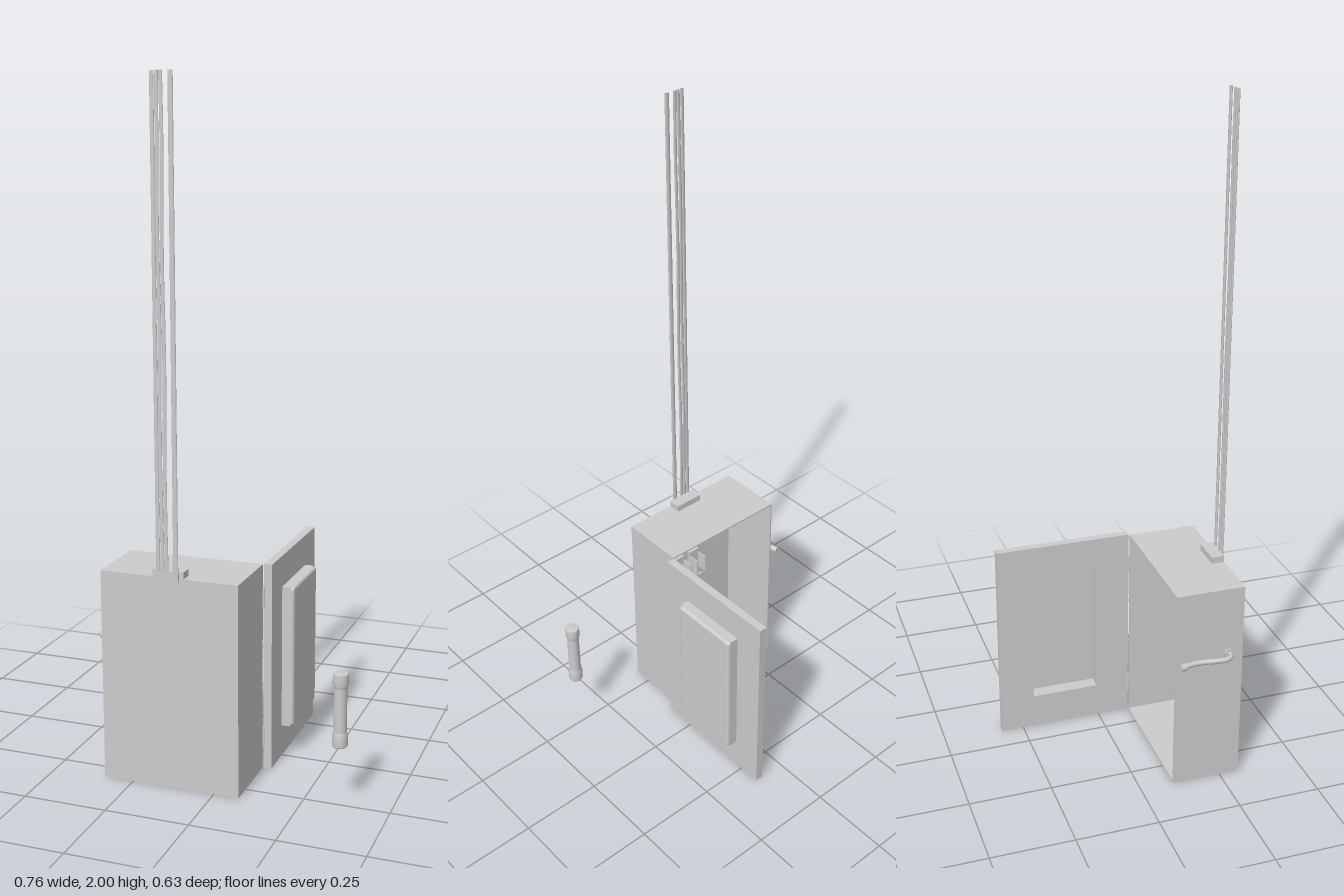
import * as THREE from 'three';
import { RoundedBoxGeometry } from 'three/addons/geometries/RoundedBoxGeometry.js';

const grey = new THREE.MeshStandardMaterial({ color: 0xcccccc, side: THREE.DoubleSide });

function add(parent, name, geometry, x = 0, y = 0, z = 0) {
  const mesh = new THREE.Mesh(geometry, grey);
  mesh.name = name;
  mesh.position.set(x, y, z);
  parent.add(mesh);
  return mesh;
}

// Box given by its minimum and maximum corners
function block(parent, name, [x0, y0, z0], [x1, y1, z1]) {
  return add(parent, name, new THREE.BoxGeometry(x1 - x0, y1 - y0, z1 - z0),
    (x0 + x1) / 2, (y0 + y1) / 2, (z0 + z1) / 2);
}

function tube(parent, name, points, radius, segments = 24) {
  const curve = new THREE.CatmullRomCurve3(points.map(p => new THREE.Vector3(...p)));
  return add(parent, name, new THREE.TubeGeometry(curve, segments, radius, 10));
}

function group(parent, name) {
  const g = new THREE.Group();
  g.name = name;
  parent.add(g);
  return g;
}

// Rectangular frame in the z-y plane, extruded along +x
function frame(outer, inner, depth) {
  const corners = ([z0, y0, z1, y1]) => [[-z0, y0], [-z1, y0], [-z1, y1], [-z0, y1]]
    .map(p => new THREE.Vector2(...p));
  const shape = new THREE.Shape(corners(outer));
  shape.holes.push(new THREE.Path(corners(inner)));
  return new THREE.ExtrudeGeometry(shape, { depth, bevelEnabled: false }).rotateY(Math.PI / 2);
}

export function createModel() {
  const model = new THREE.Group();
  model.name = 'fuseBox';

  // Cabinet shell, open towards the back
  const cabinet = group(model, 'cabinet');
  const t = 0.005, L = -0.34, R = 0.075, H = 0.63, Z0 = 0.102, Z1 = 0.31;
  block(cabinet, 'backPanel', [L, 0, Z1 - t], [R, H, Z1]);
  block(cabinet, 'rightWall', [L, 0, Z0], [L + t, H, Z1 - t]);
  block(cabinet, 'leftWall', [R - t, 0, Z0], [R, H, Z1 - t]);
  block(cabinet, 'floor', [L + t, 0, Z0], [R - t, t, Z1 - t]);
  block(cabinet, 'roof', [L + t, H - t, Z0], [R - t, H, Z1 - t]);

  // Open door with a hollow raised panel
  const door = group(model, 'door');
  const rim = [-0.222, 0.098, 0.005, 0.535], hollow = [-0.212, 0.108, -0.005, 0.525];
  add(door, 'doorPlate', frame([-0.318, 0, 0.1, H], hollow, 0.025), 0.077);
  add(door, 'panelRim', frame(rim, hollow, 0.028), 0.1);
  add(door, 'panelFace', new RoundedBoxGeometry(0.02, 0.437, 0.227, 3, 0.0095), 0.129, 0.3165, -0.1085);
  for (const y of [0.1, 0.53]) {
    add(door, 'hinge', new THREE.CylinderGeometry(0.004, 0.004, 0.06, 10), 0.077, y, 0.1);
  }

  // Cable entry on the roof
  const entry = group(model, 'cableEntry');
  block(entry, 'entryBlock', [-0.18, H, 0.272], [-0.086, 0.65, 0.31]);
  block(entry, 'entryLip', [-0.168, 0.615, 0.309], [-0.1, 0.65, 0.314]);

  // Rising cables, each slightly wavy
  const cables = group(model, 'cables');
  [[-0.161, 0.006], [-0.149, 0.0055], [-0.136, 0.0055], [-0.108, 0.0075]].forEach(([x, r], i) => {
    const points = [];
    for (let k = 0; k <= 8; k++) {
      points.push([x + (i % 3 ? 0.0015 * Math.sin(k * 1.7 + i) : 0), 0.62 + k * 0.1725, 0]);
    }
    const cable = tube(cables, 'cable', points, r, 32);
    cable.scale.z = 0.45;
    cable.position.z = 0.312;
  });

  // Switch lever on the side wall
  const lever = group(model, 'lever');
  add(lever, 'leverFlange', new THREE.CylinderGeometry(0.016, 0.016, 0.006, 16).rotateZ(Math.PI / 2), -0.342, 0.418, 0.268);
  tube(lever, 'leverArm', [[-0.338, 0.418, 0.269], [-0.356, 0.418, 0.268], [-0.37, 0.418, 0.25],
    [-0.369, 0.418, 0.215], [-0.363, 0.418, 0.175], [-0.365, 0.418, 0.14], [-0.372, 0.418, 0.115]], 0.008, 36);
  add(lever, 'leverGrip', new THREE.CylinderGeometry(0.0105, 0.0105, 0.02, 16).rotateX(Math.PI / 2),
    -0.372, 0.418, 0.114).rotation.y = 0.2;

  // Fuse clips and looping wires inside the cabinet
  const fittings = group(model, 'fittings');
  for (const x of [-0.045, -0.108, -0.171]) {
    for (const y of [0.365, 0.235]) {
      block(fittings, 'clipBase', [x - 0.02, y - 0.045, 0.294], [x + 0.02, y + 0.045, 0.305]);
      for (const s of [-1, 1]) {
        block(fittings, 'clipJaw', [x + s * 0.018 - 0.002, y - 0.03, 0.256], [x + s * 0.018 + 0.002, y + 0.03, 0.295]);
      }
    }
    tube(fittings, 'loopWire', [[x, 0.21, 0.285], [x, 0.16, 0.268], [x - 0.015, 0.125, 0.262],
      [x - 0.035, 0.14, 0.27], [x - 0.038, 0.19, 0.29], [x - 0.035, 0.25, 0.298]], 0.005);
  }
  block(fittings, 'terminalBar', [-0.21, 0.27, 0.298], [-0.02, 0.29, 0.305]);
  block(fittings, 'terminalPlate', [-0.06, 0.43, 0.297], [-0.03, 0.5, 0.305]);
  block(fittings, 'terminalShelf', [-0.06, 0.49, 0.27], [-0.03, 0.496, 0.297]);
  tube(fittings, 'inletPipe', [[0.071, 0.43, 0.262], [0.03, 0.425, 0.262], [-0.02, 0.428, 0.268], [-0.045, 0.44, 0.3]], 0.008);

  // Loose cartridge fuse
  const profile = [[0, 0.185], [0.02, 0.185], [0.022, 0.189], [0.022, 0.218], [0.019, 0.226], [0.0185, 0.23],
    [0.0185, 0.356], [0.019, 0.36], [0.022, 0.367], [0.022, 0.396], [0.02, 0.4], [0, 0.4]];
  const fuse = new THREE.LatheGeometry(profile.map(p => new THREE.Vector2(...p)), 28);
  add(model, 'spareFuse', fuse, 0.358, 0, 0.267);

  return model;
}
